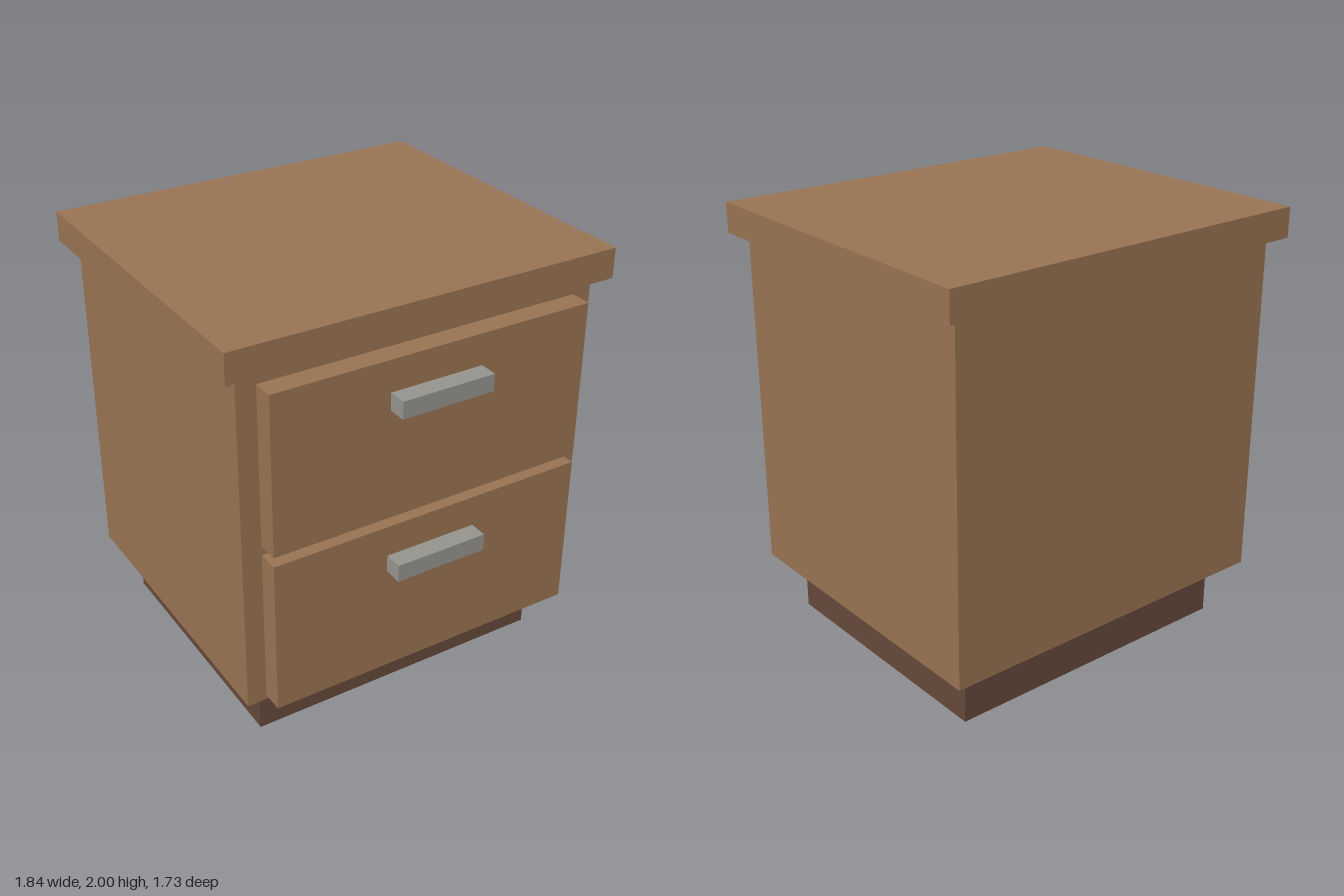
import * as THREE from 'three';

export function createModel() {
  const model = new THREE.Group();
  model.name = 'bedsideCabinet';

  const material = (name, color) => {
    const m = new THREE.MeshStandardMaterial({ color });
    m.name = name;
    return m;
  };
  const wood = material('wood', 0x977251);
  const darkWood = material('darkWood', 0x644839);
  const metal = material('metal', 0x94928c);

  // Box centred on x, given by its width and its y and z limits
  const box = (name, mat, width, y0, y1, z0, z1, parent = model) => {
    const mesh = new THREE.Mesh(new THREE.BoxGeometry(width, y1 - y0, z1 - z0), mat);
    mesh.name = name;
    mesh.position.set(0, (y0 + y1) / 2, (z0 + z1) / 2);
    parent.add(mesh);
  };

  // Recessed base, carcass and overhanging top
  box('plinth', darkWood, 1.466, 0, 0.267, -0.687, 0.56);
  box('cabinetBody', wood, 1.7, 0.267, 1.863, -0.803, 0.678);
  box('tabletop', wood, 1.836, 1.863, 2, -0.863, 0.737);

  // Two identical drawers with bar handles
  [['lowerDrawer', 0.288], ['upperDrawer', 1.068]].forEach(([name, y]) => {
    const drawer = new THREE.Group();
    drawer.name = name;
    drawer.position.y = y;
    box('drawerFront', wood, 1.52, 0, 0.735, 0.678, 0.777, drawer);
    box('handle', metal, 0.44, 0.51, 0.59, 0.777, 0.863, drawer);
    model.add(drawer);
  });

  return model;
}
